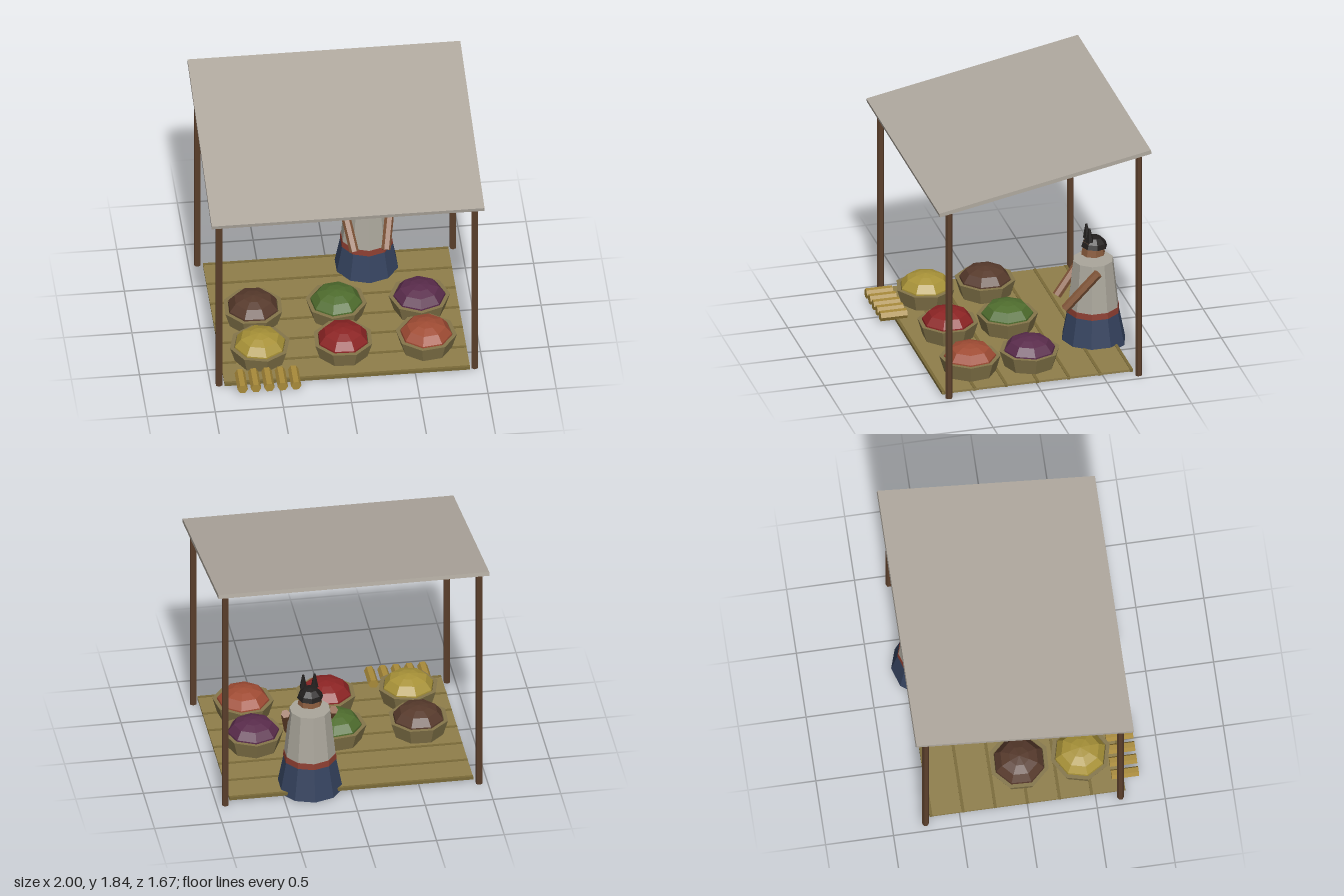
import * as THREE from 'three';

const material = (color) =>
  new THREE.MeshStandardMaterial({ color, flatShading: true, side: THREE.DoubleSide });

const mats = {
  wood: material(0x5c402c), cloth: material(0xb0a99f), reed: material(0x8f7e4a),
  reedDark: material(0x7a6a38), basket: material(0x85764a), stick: material(0xa88a3a),
  skirt: material(0x35435f), sash: material(0x8a3d30), shirt: material(0xaaa69b),
  skin: material(0x875a3c), hair: material(0x211e1d),
};

function add(parent, name, geometry, mat, x = 0, y = 0, z = 0) {
  const mesh = new THREE.Mesh(geometry, mat);
  mesh.name = name;
  mesh.position.set(x, y, z);
  parent.add(mesh);
  return mesh;
}

const lathe = (points, sides) =>
  new THREE.LatheGeometry(points.map(([r, y]) => new THREE.Vector2(r, y)), sides);

// Straight limb between two points
function limb(parent, name, from, to, radius, mat) {
  const a = new THREE.Vector3(...from), b = new THREE.Vector3(...to);
  const dir = b.clone().sub(a);
  const mesh = add(parent, name, new THREE.CylinderGeometry(radius, radius, dir.length(), 6), mat);
  mesh.position.copy(a).add(b).multiplyScalar(0.5);
  mesh.quaternion.setFromUnitVectors(new THREE.Vector3(0, 1, 0), dir.normalize());
  return mesh;
}

// Four posts and a sloping roof
function buildShelter() {
  const shelter = new THREE.Group();
  shelter.name = 'shelter';
  for (const side of [-1, 1]) {
    for (const [name, z, h] of [['frontPost', 0.68, 1.515], ['backPost', -0.755, 1.795]]) {
      add(shelter, name, new THREE.CylinderGeometry(0.026, 0.026, h, 6), mats.wood, side * 0.937, h / 2, z);
    }
  }
  const roof = add(shelter, 'roof', new THREE.BoxGeometry(2, 0.03, 1.63), mats.cloth, 0, 1.67, -0.033);
  roof.rotation.x = 0.191;
  return shelter;
}

// Woven floor mat with ribs running across
function buildMat() {
  const mat = new THREE.Group();
  mat.name = 'floorMat';
  add(mat, 'matBase', new THREE.BoxGeometry(1.8, 0.016, 1.44), mats.reed, 0, 0.025, 0);
  const ribs = 7;
  for (let i = 0; i < ribs; i++) {
    const z = -0.71 + (1.42 * i) / (ribs - 1);
    add(mat, 'matRib', new THREE.BoxGeometry(1.8, 0.024, 0.022), mats.reedDark, 0, 0.025, z);
  }
  return mat;
}

// Eight-sided basket with a heap of produce
function buildBasket(color, x, z, turn) {
  const basket = new THREE.Group();
  basket.name = 'produceBasket';
  add(basket, 'basketShell', lathe(
    [[0, 0.035], [0.188, 0.035], [0.225, 0.158], [0.195, 0.158], [0.185, 0.12]], 8), mats.basket);
  add(basket, 'produceHeap', lathe(
    [[0.192, 0.13], [0.188, 0.165], [0.142, 0.222], [0.075, 0.246], [0, 0.257]], 8), material(color));
  basket.position.set(x, 0, z);
  basket.rotation.y = turn;
  return basket;
}

// Seller in a long skirt, built around its own axis
function buildSeller() {
  const seller = new THREE.Group();
  seller.name = 'seller';
  add(seller, 'skirt', new THREE.CylinderGeometry(0.19, 0.243, 0.27, 10, 1, true), mats.skirt, 0, 0.135, 0);
  add(seller, 'sash', new THREE.CylinderGeometry(0.192, 0.198, 0.045, 10), mats.sash, 0, 0.272, 0);
  add(seller, 'shirt', new THREE.CylinderGeometry(0.15, 0.19, 0.37, 10), mats.shirt, 0, 0.475, 0);
  add(seller, 'head', new THREE.CylinderGeometry(0.072, 0.09, 0.1, 8), mats.skin, 0, 0.755, 0);
  const hair = add(seller, 'hair', lathe(
    [[0, 0], [0.097, 0], [0.085, 0.035], [0.05, 0.072], [0, 0.082]], 8), mats.hair, 0, 0.762, -0.008);
  hair.rotation.x = -0.05;
  for (const side of [-1, 1]) {
    const tuft = add(seller, 'hairTuft', new THREE.CylinderGeometry(0.008, 0.029, 0.105, 6),
      mats.hair, side * 0.042, 0.872, 0.038);
    tuft.rotation.x = 0.03;
    limb(seller, 'arm', [side * 0.178, 0.622, 0.012], [side * 0.116, 0.338, 0.243], 0.034, mats.skin);
  }
  seller.position.set(0.285, 0, -0.59);
  return seller;
}

export function createModel() {
  const model = new THREE.Group();
  model.name = 'marketStall';
  model.add(buildShelter(), buildMat(), buildSeller());

  // Front and back rows of baskets
  const rows = [
    { z: 0.43, colors: [0xa89238, 0x8c2424, 0xa04c34] },
    { z: -0.02, colors: [0x573a2c, 0x4f6d2e, 0x5a2c4c] },
  ];
  rows.forEach(({ z, colors }, r) => colors.forEach((color, c) => {
    model.add(buildBasket(color, (c - 1) * 0.61, z, 0.15 + (c + r) * 0.2));
  }));

  // Row of sticks lying at the front edge
  for (let i = 0; i < 5; i++) {
    const geometry = new THREE.CylinderGeometry(0.038, 0.038, 0.2, 6, 1, false, Math.PI / 6);
    const stick = add(model, 'stick', geometry, mats.stick, -0.78 + i * 0.098, 0.061, 0.735);
    stick.rotation.x = Math.PI / 2;
  }
  return model;
}
